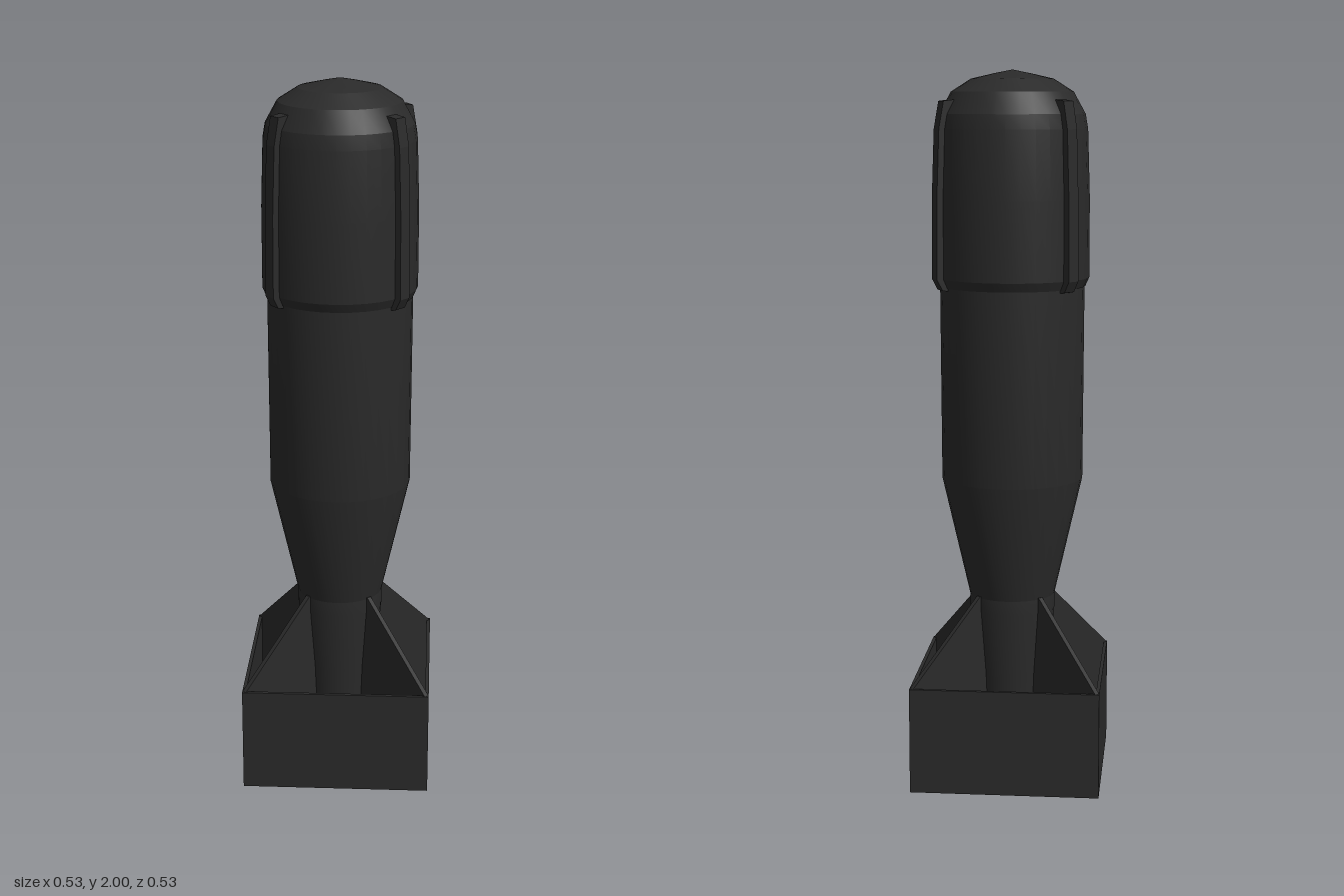
import * as THREE from 'three';
import { toCreasedNormals } from 'three/addons/utils/BufferGeometryUtils.js';

const dark = new THREE.MeshStandardMaterial({ color: 0x2a2a2a });
const darkThin = new THREE.MeshStandardMaterial({ color: 0x2a2a2a, side: THREE.DoubleSide });

function add(parent, name, geometry, material = dark) {
  const mesh = new THREE.Mesh(geometry, material);
  mesh.name = name;
  parent.add(mesh);
  return mesh;
}

// Surface of revolution from [radius, height] pairs, bottom to top
function turned(points) {
  const profile = points.map(([r, y]) => new THREE.Vector2(r, y));
  return toCreasedNormals(new THREE.LatheGeometry(profile, 32), 0.22);
}

// Flat plate in the radius/height plane, centred on its thickness
function plate(points, thickness) {
  const shape = new THREE.Shape(points.map(([r, y]) => new THREE.Vector2(r, y)));
  const geometry = new THREE.ExtrudeGeometry(shape, { depth: thickness, bevelEnabled: false });
  return geometry.translate(0, 0, -thickness / 2);
}

export function createModel() {
  const model = new THREE.Group();
  model.name = 'finnedBomb';

  // Straight body tapering into the tail stalk
  add(model, 'body', turned([
    [0, 0.01], [0.09, 0.01], [0.105, 0.3], [0.122, 0.48], [0.122, 0.52],
    [0.2, 0.86], [0.203, 1.42], [0, 1.42],
  ]));

  // Wider nose sleeve with a domed, slightly pointed tip
  add(model, 'nose', turned([
    [0.19, 1.405], [0.205, 1.405], [0.216, 1.43], [0.216, 1.65], [0.21, 1.84],
    [0.203, 1.88], [0.17, 1.94], [0.115, 1.975], [0.05, 1.99], [0, 2],
  ]));

  // Four raised strips along the nose, one of them set off the diagonal
  const ribShape = plate([
    [0.19, 1.395], [0.218, 1.4], [0.234, 1.43], [0.233, 1.65],
    [0.226, 1.84], [0.212, 1.915], [0.17, 1.92],
  ], 0.038);
  for (const [x, z] of [[-0.17, -0.14], [0.19, -0.105], [-0.17, 0.135], [0.168, 0.135]]) {
    add(model, 'noseRib', ribShape).rotation.y = Math.atan2(-z, x);
  }

  // Square tail box, open at the top with a closed floor
  const half = 0.265, wall = 0.01, height = 0.3;
  const square = (s, Kind) => new Kind([[-s, -s], [s, -s], [s, s], [-s, s]]
    .map(([x, y]) => new THREE.Vector2(x, y)));
  const ring = square(half, THREE.Shape);
  ring.holes.push(square(half - wall, THREE.Path));
  const walls = new THREE.ExtrudeGeometry(ring, { depth: height, bevelEnabled: false });
  add(model, 'tailBoxWalls', walls.rotateX(-Math.PI / 2));
  const floor = new THREE.BoxGeometry(2 * (half - wall), wall, 2 * (half - wall));
  add(model, 'tailBoxFloor', floor.translate(0, wall / 2, 0));

  // Diagonal fins from the stalk to the box corners
  const corner = (half - 0.006) * Math.SQRT2;
  const finShape = plate([
    [0.07, 0.01], [corner, 0.01], [corner, 0.3], [0.125, 0.525], [0.07, 0.525],
  ], 0.014);
  for (let i = 0; i < 4; i++) {
    add(model, 'tailFin', finShape, darkThin).rotation.y = Math.PI / 4 + i * Math.PI / 2;
  }

  return model;
}
